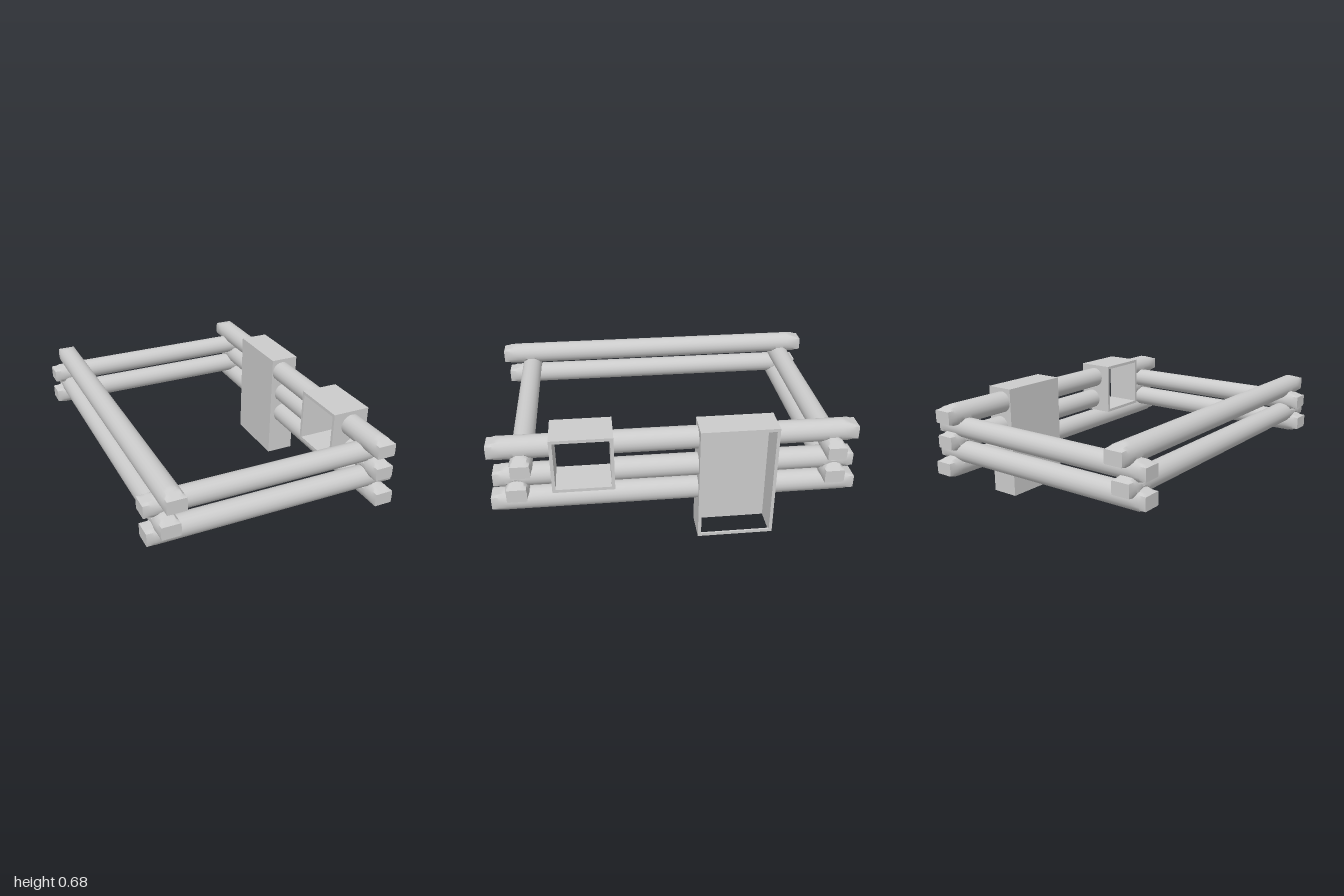
import * as THREE from 'three';
import { toCreasedNormals } from 'three/addons/utils/BufferGeometryUtils.js';

const material = new THREE.MeshStandardMaterial({ color: 0xcccccc });

// Cross logs: height, depth and radius, shared by the notches
const crossLogs = [
  { y: 0.515, z: 0.825, r: 0.061 },
  { y: 0.37, z: 0.855, r: 0.064 },
  { y: 0.515, z: -0.866, r: 0.061 },
  { y: 0.37, z: -0.866, r: 0.064 },
];

// Log lying along z from a to b, hewn to a blunt wedge where |s| passes start,
// and saddle-notched around the given cross logs
function logGeometry(r, a, b, start, end, y, notches) {
  const length = b - a;
  const geo = new THREE.CylinderGeometry(r, r, length, 20, Math.ceil(length / 0.01));
  geo.rotateX(Math.PI / 2);
  geo.translate(0, 0, (a + b) / 2);
  const p = geo.attributes.position;
  for (let i = 0; i < p.count; i++) {
    const s = p.getZ(i);
    const t = THREE.MathUtils.clamp((Math.abs(s) - start) / (end - start), 0, 1);
    const halfH = r * (1 - 0.42 * t);
    const halfW = r * (1 - 0.15 * t);
    let top = halfH;
    let bottom = -halfH;
    for (const n of notches) {
      const d = Math.abs(s - n.z);
      if (d >= n.r) continue;
      const h = Math.sqrt(n.r * n.r - d * d);
      if (n.y > y) top = Math.min(top, n.y - h - y);
      else bottom = Math.max(bottom, n.y + h - y);
    }
    p.setX(i, THREE.MathUtils.clamp(p.getX(i), -halfW, halfW));
    p.setY(i, THREE.MathUtils.clamp(p.getY(i), bottom, Math.max(top, bottom + 0.005)));
  }
  return toCreasedNormals(geo, 0.6);
}

function addMesh(parent, name, geo, x = 0, y = 0, z = 0, mat = material) {
  const mesh = new THREE.Mesh(geo, mat);
  mesh.name = name;
  mesh.position.set(x, y, z);
  parent.add(mesh);
  return mesh;
}

// Box given by its minimum and maximum corners
function addBox(parent, name, x0, x1, y0, y1, z0, z1) {
  addMesh(parent, name, new THREE.BoxGeometry(x1 - x0, y1 - y0, z1 - z0),
    (x0 + x1) / 2, (y0 + y1) / 2, (z0 + z1) / 2);
}

// Top and two jambs of a frame open along x
function addFrame(parent, x0, x1, y0, y1, z0, z1, t) {
  addBox(parent, 'frameTop', x0, x1, y1 - t, y1, z0, z1);
  addBox(parent, 'frontJamb', x0, x1, y0, y1 - t, z1 - t, z1);
  addBox(parent, 'backJamb', x0, x1, y0, y1 - t, z0, z0 + t);
}

export function createModel() {
  const model = new THREE.Group();

  // Front and back wall logs
  for (const c of crossLogs) {
    const geo = logGeometry(c.r, -0.73, 0.73, 0.64, 0.73, c.y, []);
    geo.rotateY(Math.PI / 2);
    addMesh(model, c.z > 0 ? 'frontLog' : 'backLog', geo, 0, c.y, c.z);
  }

  // Side wall logs, interrupted by the window and door on the +x side
  const sideLogs = [
    { name: 'rightLog', x: -0.6, y: 0.596, r: 0.064, end: 1, spans: [[-1, 1]] },
    { name: 'rightLog', x: -0.624, y: 0.44, r: 0.063, end: 0.977, spans: [[-0.977, 0.977]] },
    { name: 'leftLog', x: 0.598, y: 0.596, r: 0.064, end: 1,
      spans: [[-1, -0.54], [-0.125, 0.34], [0.665, 1]] },
    { name: 'leftLog', x: 0.621, y: 0.44, r: 0.063, end: 0.977,
      spans: [[-0.977, -0.54], [-0.125, 0.34], [0.665, 0.977]] },
    { name: 'leftLog', x: 0.621, y: 0.29, r: 0.064, end: 1,
      spans: [[-1, -0.54], [-0.125, 1]] },
  ];
  for (const l of sideLogs) {
    // Only the cross logs directly above and below bite into a log
    const notches = crossLogs.filter((c) => Math.abs(c.y - l.y) < 0.12);
    for (const [a, b] of l.spans) {
      addMesh(model, l.name, logGeometry(l.r, a, b, l.end - 0.085, l.end, l.y, notches), l.x, l.y, 0);
    }
  }

  // Window frame, open right through
  const windowFrame = new THREE.Group();
  windowFrame.name = 'windowFrame';
  addFrame(windowFrame, 0.48, 0.705, 0.36, 0.68, 0.335, 0.67, 0.018);
  addBox(windowFrame, 'sill', 0.48, 0.705, 0.36, 0.378, 0.353, 0.652);
  model.add(windowFrame);

  // Door frame with a closed inner panel and a floor seen from below
  const doorFrame = new THREE.Group();
  doorFrame.name = 'doorFrame';
  addFrame(doorFrame, 0.53, 0.705, 0, 0.68, -0.547, -0.12, 0.018);
  addBox(doorFrame, 'doorPanel', 0.53, 0.54, 0, 0.662, -0.529, -0.138);
  const floor = new THREE.PlaneGeometry(0.175, 0.391);
  floor.rotateX(Math.PI / 2);
  addMesh(doorFrame, 'threshold', floor, 0.6175, 0.001, -0.3335);
  addBox(doorFrame, 'thresholdLip', 0.695, 0.705, 0, 0.018, -0.529, -0.138);
  model.add(doorFrame);

  return model;
}
